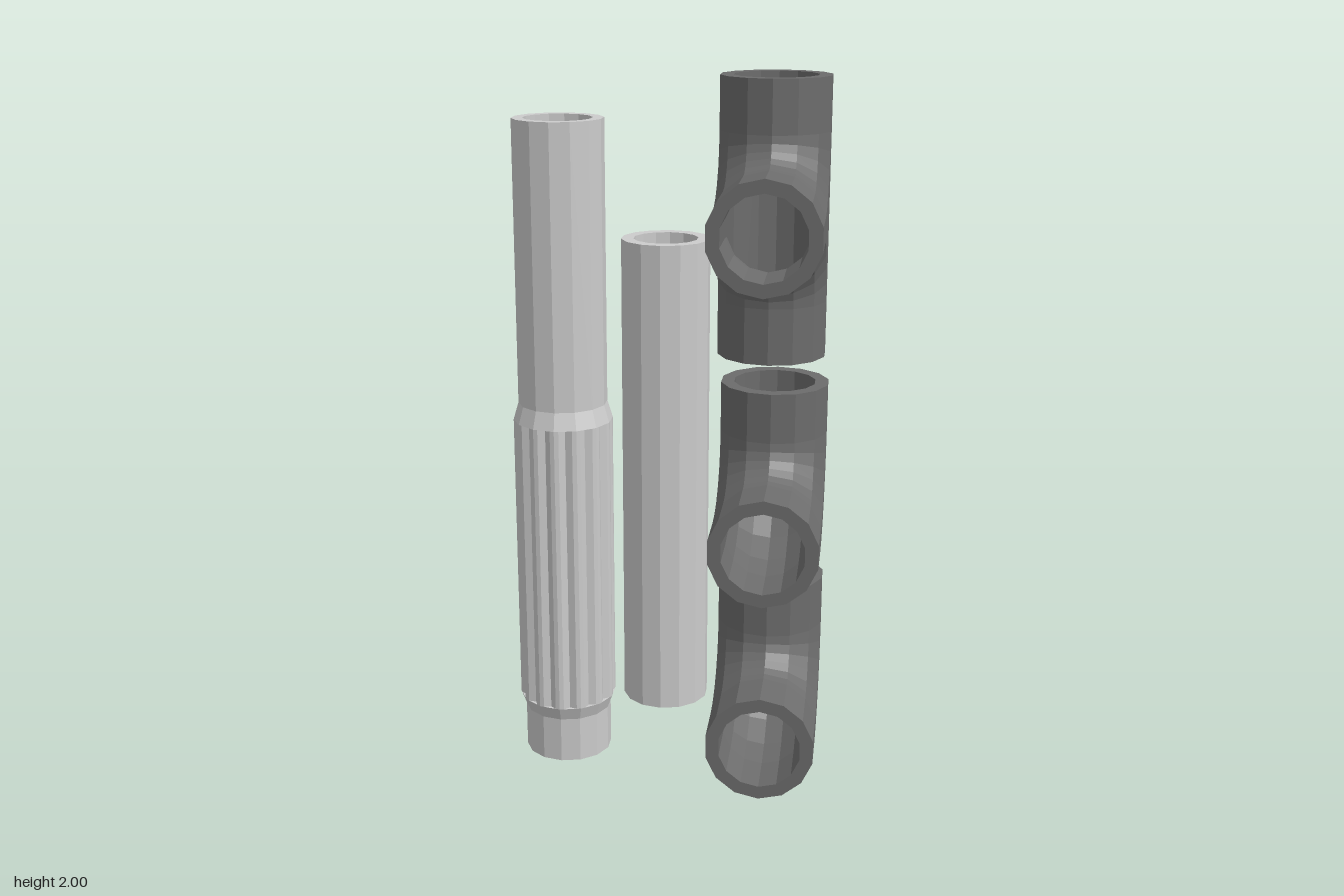
import * as THREE from 'three';

const SIDES = 14;
const STEP = (Math.PI * 2) / SIDES;
const BEND_STEPS = 6;

const light = new THREE.MeshStandardMaterial({ color: 0xcccccc, flatShading: true, side: THREE.DoubleSide });
const dark = new THREE.MeshStandardMaterial({ color: 0x6c6c6c, flatShading: true, side: THREE.DoubleSide });

// Surface through rows of points; flip reverses the facing
function loft(rows, flip = false) {
  const pos = [];
  for (let i = 0; i < rows.length - 1; i++) {
    for (let j = 0; j < rows[i].length - 1; j++) {
      const a = rows[i][j], b = rows[i][j + 1], c = rows[i + 1][j], d = rows[i + 1][j + 1];
      const tris = flip ? [a, c, b, b, c, d] : [a, b, c, b, d, c];
      tris.forEach((p) => pos.push(p.x, p.y, p.z));
    }
  }
  const geo = new THREE.BufferGeometry();
  geo.setAttribute('position', new THREE.Float32BufferAttribute(pos, 3));
  geo.computeVertexNormals();
  return geo;
}

function addMesh(parent, name, geo, mat) {
  const mesh = new THREE.Mesh(geo, mat);
  mesh.name = name;
  parent.add(mesh);
  return mesh;
}

// Ring angles from one corner to another; corners lie fore and aft
const angles = (from, to) =>
  Array.from({ length: to - from + 1 }, (_, k) => Math.PI / 2 + (from + k) * STEP);

// Sections of a right-angle pipe: end of upright leg, bend, end of front leg.
// The axes cross at the local origin; dir = -1 turns the upright leg down.
function bendRows(r, R, upright, front, list, dir = 1) {
  const section = (t, place) => list.map((a) => {
    const reach = R - r * Math.sin(a);
    const p = new THREE.Vector3(r * Math.cos(a), R - reach * Math.sin(t), R - reach * Math.cos(t));
    if (place) place(p);
    p.y *= dir;
    return p;
  });
  const rows = [section(0, (p) => { p.y = upright; })];
  for (let i = 0; i <= BEND_STEPS; i++) rows.push(section((i / BEND_STEPS) * Math.PI / 2));
  rows.push(section(Math.PI / 2, (p) => { p.z = front; }));
  return rows;
}

// Elbow: outer wall, front rim, bore and top rim as one closed skin
function makeElbow(name, y) {
  const list = angles(0, SIDES);
  const outer = bendRows(0.152, 0.24, 0.38, 0.375, list);
  const bore = bendRows(0.115, 0.24, 0.38, 0.375, list).reverse();
  const group = new THREE.Group();
  group.name = name;
  addMesh(group, 'elbowPipe', loft([...outer, ...bore, outer[0]]), dark);
  group.position.set(0.295, y, -0.11);
  return group;
}

// One wall of the tee: two half bends, flat cheeks between them, round back
function addTeeWall(group, name, r, up, down, front, R, inward) {
  const half = angles(-3, 3);
  const upper = bendRows(r, R, up, front, half, 1);
  const lower = bendRows(r, R, down, front, half, -1);
  addMesh(group, name + 'UpperBend', loft(upper, inward), dark);
  addMesh(group, name + 'LowerBend', loft(lower, !inward), dark);
  for (const k of [0, 6]) {
    const cheek = upper.slice(1).map((row, i) => [row[k], lower[i + 1][k]]);
    addMesh(group, name + 'Cheek', loft(cheek, (k === 0) !== inward), dark);
  }
  const back = [up, -down].map((y) => angles(3, 11).map((a) =>
    new THREE.Vector3(r * Math.cos(a), y, r * Math.sin(a))));
  addMesh(group, name + 'Back', loft(back, inward), dark);
}

function makeTee() {
  const group = new THREE.Group();
  group.name = 'teeFitting';
  const up = 0.375, down = 0.385, front = 0.38, ro = 0.152, ri = 0.115;
  addTeeWall(group, 'outer', ro, up, down, front, 0.23, false);
  addTeeWall(group, 'bore', ri, up, down, front, 0.23, true);
  const rim = new THREE.RingGeometry(ri, ro, SIDES, 1, Math.PI / 2);
  const top = addMesh(group, 'topRim', rim, dark);
  top.rotation.x = -Math.PI / 2;
  top.position.y = up;
  const bottom = addMesh(group, 'bottomRim', rim, dark);
  bottom.rotation.x = Math.PI / 2;
  bottom.position.y = -down;
  addMesh(group, 'branchRim', rim, dark).position.z = front;
  group.position.set(0.283, 1.625, -0.115);
  return group;
}

const lathe = (points) =>
  new THREE.LatheGeometry(points.map(([x, y]) => new THREE.Vector2(x, y)), SIDES);

// Handle: bored shaft with collars, and a fluted grip between them
function makeHandle() {
  const group = new THREE.Group();
  group.name = 'handle';
  addMesh(group, 'shaft', lathe([
    [0, 0], [0.127, 0], [0.127, 0.135], [0.142, 0.175], [0.126, 0.175], [0.126, 1.03],
    [0.142, 1.03], [0.127, 1.08], [0.127, 1.88], [0.096, 1.88], [0.096, 0.1], [0, 0.1],
  ]), light);

  const corner = (i) => new THREE.Vector2(Math.cos(Math.PI / 2 + i * STEP), Math.sin(Math.PI / 2 + i * STEP)).multiplyScalar(0.142);
  const outline = [];
  for (let i = 0; i < SIDES; i++) {
    const a = corner(i), b = corner(i + 1);
    outline.push(a.clone().lerp(b, 0.2), a.clone().lerp(b, 0.5).multiplyScalar(0.92), a.clone().lerp(b, 0.8), b);
  }
  const flutes = new THREE.ExtrudeGeometry(new THREE.Shape(outline), { depth: 0.855, bevelEnabled: false });
  // Open the middle so the bore stays clear
  const walls = flutes.groups[1];
  const pos = flutes.attributes.position.array.slice(walls.start * 3, (walls.start + walls.count) * 3);
  const grip = new THREE.BufferGeometry();
  grip.setAttribute('position', new THREE.BufferAttribute(pos, 3));
  grip.rotateX(-Math.PI / 2);
  grip.translate(0, 0.175, 0);
  grip.computeVertexNormals();
  addMesh(group, 'flutedGrip', grip, light);
  group.position.set(-0.309, 0, -0.101);
  return group;
}

export function createModel() {
  const model = new THREE.Group();
  model.name = 'pipeSet';
  model.add(makeHandle());

  // Plain open tube
  const tube = addMesh(model, 'straightTube', lathe([
    [0.09, 0.185], [0.124, 0.185], [0.124, 1.555], [0.09, 1.555], [0.09, 0.185],
  ]), light);
  tube.position.set(-0.014, 0, -0.114);

  model.add(makeElbow('lowerElbow', 0.205), makeElbow('upperElbow', 0.78), makeTee());
  return model;
}
